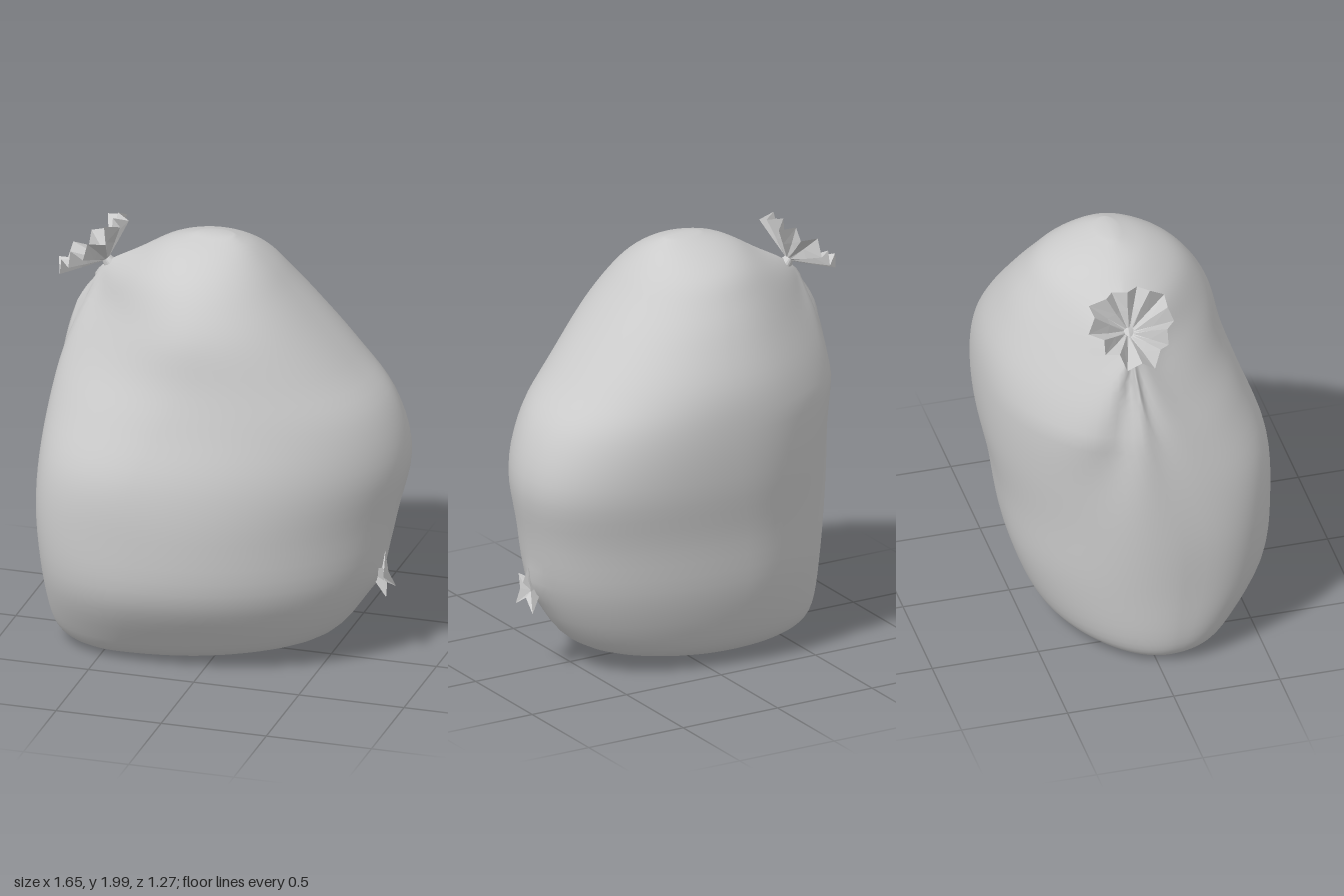
import * as THREE from 'three';

const KNOT = new THREE.Vector3(-0.59, 1.775, -0.1);

// Sack sections: y, xMin, xMax, zMin, zMax, x of front-most, x of back-most,
// z of right-most, z of left-most, front-left pinch, front-right pinch
const RINGS = [
  [0.02, -0.62, 0.05, -0.2, 0.24, -0.38, -0.2, 0, 0.05, 0.9, 1],
  [0.04, -0.72, 0.25, -0.31, 0.32, -0.42, -0.18, 0, 0.05, 0.85, 1],
  [0.14, -0.775, 0.52, -0.43, 0.42, -0.38, -0.16, -0.02, 0.08, 0.75, 1.08],
  [0.4, -0.8, 0.7, -0.53, 0.59, -0.28, -0.13, -0.04, 0.1, 0.65, 1.16],
  [0.7, -0.822, 0.775, -0.575, 0.625, -0.25, -0.1, -0.08, 0.1, 0.62, 1.17],
  [0.97, -0.82, 0.823, -0.625, 0.61, -0.26, -0.04, -0.12, 0.06, 0.75, 1.06],
  [1.22, -0.8, 0.75, -0.64, 0.525, -0.16, 0, -0.13, 0, 1.02, 0.95],
  [1.42, -0.765, 0.585, -0.615, 0.46, -0.07, 0, -0.12, -0.06, 1.4, 0.89],
  [1.62, -0.69, 0.415, -0.53, 0.415, -0.07, -0.03, -0.1, -0.1, 1.85, 0.88],
  [1.76, -0.61, 0.295, -0.45, 0.345, -0.08, -0.06, -0.08, -0.1, 2.1, 0.9],
  [1.87, -0.43, 0.2, -0.365, 0.25, -0.09, -0.08, -0.07, -0.08, 1.45, 0.92],
  [1.95, -0.29, 0.11, -0.23, 0.12, -0.08, -0.08, -0.06, -0.06, 1, 0.95],
  [1.995, -0.15, 0.02, -0.1, -0.01, -0.06, -0.06, -0.05, -0.05, 1, 1],
];

function mesh(name, positions, index, flat) {
  const g = new THREE.BufferGeometry();
  g.setAttribute('position', new THREE.Float32BufferAttribute(positions, 3));
  g.setIndex(index);
  g.computeVertexNormals();
  const m = new THREE.Mesh(g, new THREE.MeshStandardMaterial({
    color: 0xcccccc, flatShading: flat, side: flat ? THREE.DoubleSide : THREE.FrontSide,
  }));
  m.name = name;
  return m;
}

// Folds that fan out from the tied neck and fade with distance
function pleat(x, y, z) {
  const dx = x - KNOT.x, dy = y - KNOT.y, dz = z - KNOT.z;
  const d = Math.hypot(dx, dy, dz);
  const around = Math.atan2(dz, (dx - dy) * 0.7);
  const fade = Math.min(1, d / 0.25) * Math.exp(-Math.pow(d / 0.8, 2));
  const below = 1 - THREE.MathUtils.smoothstep(y, 1.6, 1.85);
  const side = THREE.MathUtils.smoothstep(0.1 - x, 0, 0.4);
  return fade * side * below * (0.02 * Math.sin(around * 9 + 1) + 0.014 * Math.sin(around * 5));
}

function sackBody() {
  const N = 88, M = 56;
  const columns = RINGS[0].map((_, c) =>
    new THREE.SplineCurve(RINGS.map((r, i) => new THREE.Vector2(i, r[c]))));
  const pos = [], idx = [];
  for (let j = 0; j <= M; j++) {
    const [y, x0, x1, z0, z1, xf, xb, zr, zl, pl, pr] = columns.map(c => c.getPoint(j / M).y);
    const backRight = 0.8 + 0.1 * THREE.MathUtils.smoothstep(y, 0.85, 1.3);
    const backLeft = Math.max(pl, 1.1);
    for (let i = 0; i < N; i++) {
      const a = i / N * Math.PI * 2, c = Math.cos(a), s = Math.sin(a);
      const front = s > 0, right = c > 0;
      const xm = front ? xf : xb, zm = right ? zr : zl;
      const power = right ? (front ? pr : backRight) : (front ? pl : backLeft);
      let x = xm + Math.abs(c) * ((right ? x1 : x0) - xm);
      let z = zm + Math.pow(Math.abs(s), power) * ((front ? z1 : z0) - zm);
      const p = pleat(x, y, z);
      x += c * p;
      z += s * p;
      // skin drawn out towards the small corner tuft
      if (right) x += 0.025 * Math.exp(-(Math.pow(y - 0.42, 2) + Math.pow(z + 0.04, 2)) / 0.006);
      pos.push(x, y, z);
    }
  }
  for (let j = 0; j < M; j++) for (let i = 0; i < N; i++) {
    const k = (i + 1) % N, a = j * N + i, b = j * N + k;
    idx.push(a, a + N, b, b, a + N, b + N);
  }
  // close the base and the crown
  const base = pos.length / 3;
  pos.push(-0.3, 0.01, 0.02, -0.06, 2, -0.05);
  for (let i = 0; i < N; i++) {
    const k = (i + 1) % N;
    idx.push(base, i, k, base + 1, M * N + k, M * N + i);
  }
  return mesh('sackBody', pos, idx, false);
}

// Flared, pleated end of the sack above the tie
function gatheredNeck() {
  const N = 20, pos = [], idx = [];
  const axis = new THREE.Vector3(-0.65, 0.76, 0), e1 = new THREE.Vector3(0.76, 0.65, 0);
  const e2 = new THREE.Vector3(0, 0, 1);
  // along the axis, radius, pleat depth
  const rows = [[-0.03, 0.035, 0], [0.015, 0.022, 0], [0.065, 0.1, 0.2], [0.12, 0.185, 0.22]];
  rows.forEach(([h, r, fold]) => {
    for (let i = 0; i < N; i++) {
      const a = i / N * Math.PI * 2, odd = i % 2 ? 1 : -1;
      const lump = 1 + 0.1 * Math.sin(a * 3 - 1.4);
      const rr = r * lump * (1 + odd * fold * 0.4);
      const hh = h * (1 - odd * fold + 0.3 * fold * Math.sin(a * 4));
      const p = KNOT.clone().addScaledVector(axis, hh)
        .addScaledVector(e1, Math.cos(a) * rr).addScaledVector(e2, Math.sin(a) * rr);
      pos.push(p.x, p.y, p.z);
    }
  });
  for (let j = 0; j < rows.length - 1; j++) for (let i = 0; i < N; i++) {
    const k = (i + 1) % N, a = j * N + i, b = j * N + k;
    idx.push(a, b, a + N, b, b + N, a + N);
  }
  return mesh('gatheredNeck', pos, idx, true);
}

// Small star-shaped pinch of cloth low on the side, joined back into the sack
function cornerTuft() {
  const pos = [
    0.725, 0.41, -0.035,
    0.745, 0.53, -0.04, 0.75, 0.44, 0,
    0.755, 0.48, 0.03, 0.755, 0.41, 0.015,
    0.77, 0.335, 0.03, 0.755, 0.38, -0.035,
    0.77, 0.33, -0.12, 0.75, 0.42, -0.07,
    0.66, 0.43, -0.035,
  ];
  const idx = [];
  for (let i = 0; i < 8; i++) {
    const a = 1 + i, b = 1 + (i + 1) % 8;
    idx.push(0, a, b, 9, b, a);
  }
  return mesh('cornerTuft', pos, idx, true);
}

export function createModel() {
  const sack = new THREE.Group();
  sack.name = 'tiedSack';
  sack.add(sackBody(), gatheredNeck(), cornerTuft());
  return sack;
}
